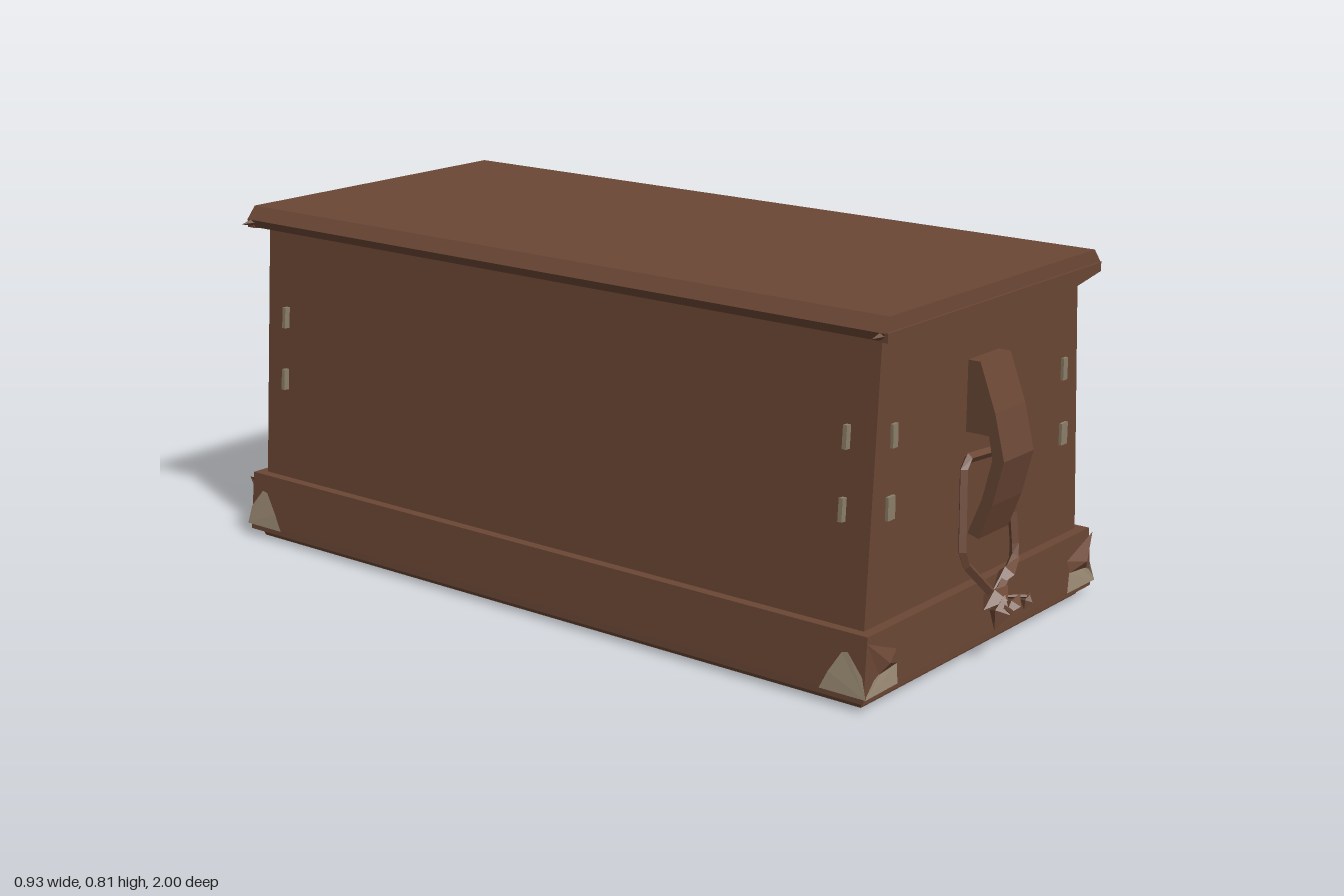
import * as THREE from 'three';

const mat = (name, color) => {
  const m = new THREE.MeshStandardMaterial({ color, flatShading: true, side: THREE.DoubleSide });
  m.name = name;
  return m;
};

export function createModel() {
  const wood = mat('brown wood', 0x6b4735);
  const bone = mat('tan corner', 0xa3917a);
  const stud = mat('dull stud', 0x8c7f68);
  const model = new THREE.Group();
  model.name = 'chest';

  const add = (parent, name, geometry, material) => {
    const mesh = new THREE.Mesh(geometry, material);
    mesh.name = name;
    parent.add(mesh);
    return mesh;
  };
  const fromTriangles = (pos) => {
    const g = new THREE.BufferGeometry();
    g.setAttribute('position', new THREE.Float32BufferAttribute(pos, 3));
    g.computeVertexNormals();
    return g;
  };
  // Flat face through a list of points
  const fan = (pts) => {
    const pos = [];
    for (let i = 1; i < pts.length - 1; i++) pos.push(...pts[0], ...pts[i], ...pts[i + 1]);
    return fromTriangles(pos);
  };
  // Stack of rectangles [half width, half length, y], closed at both ends
  const loft = (sections) => {
    const rings = sections.map(([x, z, y]) => [[x, y, z], [x, y, -z], [-x, y, -z], [-x, y, z]]);
    const pos = [];
    const quad = (a, b, c, d) => pos.push(...a, ...b, ...c, ...a, ...c, ...d);
    for (let i = 0; i < rings.length - 1; i++) {
      for (let j = 0; j < 4; j++) {
        const k = (j + 1) % 4;
        quad(rings[i][j], rings[i][k], rings[i + 1][k], rings[i + 1][j]);
      }
    }
    quad(...rings[0].slice().reverse());
    quad(...rings[rings.length - 1]);
    return fromTriangles(pos);
  };
  const extrude = (pts, depth) => new THREE.ExtrudeGeometry(
    new THREE.Shape(pts.map(([x, y]) => new THREE.Vector2(x, y))), { depth, bevelEnabled: false });

  // Base with recessed floor and skirting, tapered walls, bevelled lid
  add(model, 'base', loft([
    [0.41, 0.85, 0.03], [0.41, 0.85, 0.005], [0.435, 0.88, 0.003], [0.442, 0.885, 0.02],
    [0.46, 0.902, 0.022], [0.459, 0.902, 0.036], [0.447, 0.9, 0.163], [0.42, 0.876, 0.163],
  ]), wood);
  add(model, 'walls', loft([[0.424, 0.876, 0.16], [0.383, 0.876, 0.77]]), wood);
  add(model, 'lid', loft([
    [0.383, 0.876, 0.765], [0.415, 0.9, 0.766], [0.425, 0.908, 0.785], [0.403, 0.905, 0.815],
  ]), wood);

  // Corner pieces and wall studs, mirrored to all four corners
  for (const s of [1, -1]) {
    for (const t of [1, -1]) {
      const corner = new THREE.Group();
      corner.name = 'cornerFittings';
      model.add(corner);
      const at = (pts) => pts.map(([x, y, z]) => [s * x, y, t * z]);
      add(corner, 'cornerCapEnd', fan(at([
        [0.464, 0.035, 0.91], [0.345, 0.035, 0.908], [0.35, 0.082, 0.908],
        [0.395, 0.085, 0.908], [0.435, 0.07, 0.91], [0.462, 0.042, 0.91],
      ])), bone);
      add(corner, 'cornerCapSide', fan(at([
        [0.464, 0.035, 0.91], [0.464, 0.035, 0.795], [0.462, 0.075, 0.815],
        [0.457, 0.122, 0.845], [0.457, 0.125, 0.86], [0.46, 0.08, 0.898],
      ])), bone);
      add(corner, 'cornerSpur', fan(at([
        [0.4, 0.1, 0.925], [0.455, 0.152, 0.905], [0.345, 0.11, 0.904],
        [0.35, 0.083, 0.91], [0.42, 0.078, 0.912], [0.455, 0.152, 0.905],
      ])), wood);
      for (const [y, xEnd, w, xSide] of [[0.555, 0.337, 0.018, 0.404], [0.405, 0.345, 0.026, 0.414]]) {
        add(corner, 'endStud', new THREE.BoxGeometry(w, 0.05, 0.008), stud)
          .position.set(s * xEnd, y, t * 0.879);
        const side = add(corner, 'sideStud', new THREE.BoxGeometry(0.016, 0.05, 0.01), stud);
        side.position.set(s * xSide, y, t * 0.81);
        side.rotation.z = s * 0.07;
      }
      // Pointed lid corner
      const tip = add(corner, 'lidTip', new THREE.ConeGeometry(0.013, 0.05, 4), wood);
      tip.position.set(s * 0.428, 0.778, t * 0.897);
      tip.rotation.z = -s * Math.PI / 2;
    }
  }

  // Each end: pointed lid flap, handle strap, rope loop and knot
  const buildEnd = (name) => {
    const end = new THREE.Group();
    end.name = name;
    model.add(end);
    add(end, 'lidFlap', extrude([
      [-0.42, 0.765], [0, 0.7], [0.42, 0.765], [0.42, 0.785], [-0.42, 0.785],
    ], 0.02), wood).position.z = 0.893;

    const strap = extrude([
      [0.875, 0.655], [0.875, 0.5], [0.932, 0.5], [0.942, 0.45], [0.92, 0.36],
      [0.888, 0.28], [0.915, 0.272], [0.945, 0.35], [0.97, 0.45], [0.945, 0.55], [0.905, 0.655],
    ], 0.12);
    const strapMesh = add(end, 'strap', strap, wood);
    strapMesh.rotation.y = -Math.PI / 2;
    strapMesh.position.x = 0.06;

    const rope = (ropeName, pts, radius) => {
      const path = new THREE.CurvePath();
      const v = pts.map((p) => new THREE.Vector3(...p));
      for (let i = 0; i < v.length - 1; i++) path.add(new THREE.LineCurve3(v[i], v[i + 1]));
      return add(end, ropeName, new THREE.TubeGeometry(path, 24, radius, 4), wood);
    };
    rope('rope', [
      [-0.03, 0.147, 0.935], [-0.11, 0.235, 0.908], [-0.078, 0.445, 0.885],
      [0.062, 0.44, 0.895], [0.1, 0.3, 0.9], [0.1, 0.195, 0.912], [0.0, 0.145, 0.935],
    ], 0.011);

    // Knot with loose ends: position, size, tilt
    const lumps = [
      [[-0.03, 0.14, 0.945], [0.05, 0.02, 0.03], 0.3],
      [[-0.045, 0.115, 0.965], [0.022, 0.04, 0.025], -0.5],
      [[-0.01, 0.125, 0.975], [0.035, 0.012, 0.02], 0.5],
      [[0.045, 0.17, 0.925], [0.06, 0.018, 0.02], 0.42],
      [[0.065, 0.11, 0.965], [0.006, 0.02, 0.015], -0.45],
    ];
    for (const [p, size, tilt] of lumps) {
      const lump = add(end, 'knot', new THREE.OctahedronGeometry(1), wood);
      lump.position.set(...p);
      lump.scale.set(...size);
      lump.rotation.z = tilt;
    }
    rope('looseEnd', [[-0.02, 0.14, 0.95], [0.03, 0.135, 0.985], [0.075, 0.125, 0.965]], 0.004);
    rope('looseEnd', [[-0.03, 0.13, 0.95], [-0.05, 0.125, 0.996]], 0.006);
    return end;
  };
  buildEnd('frontEnd');
  buildEnd('backEnd').rotation.y = Math.PI;

  return model;
}
